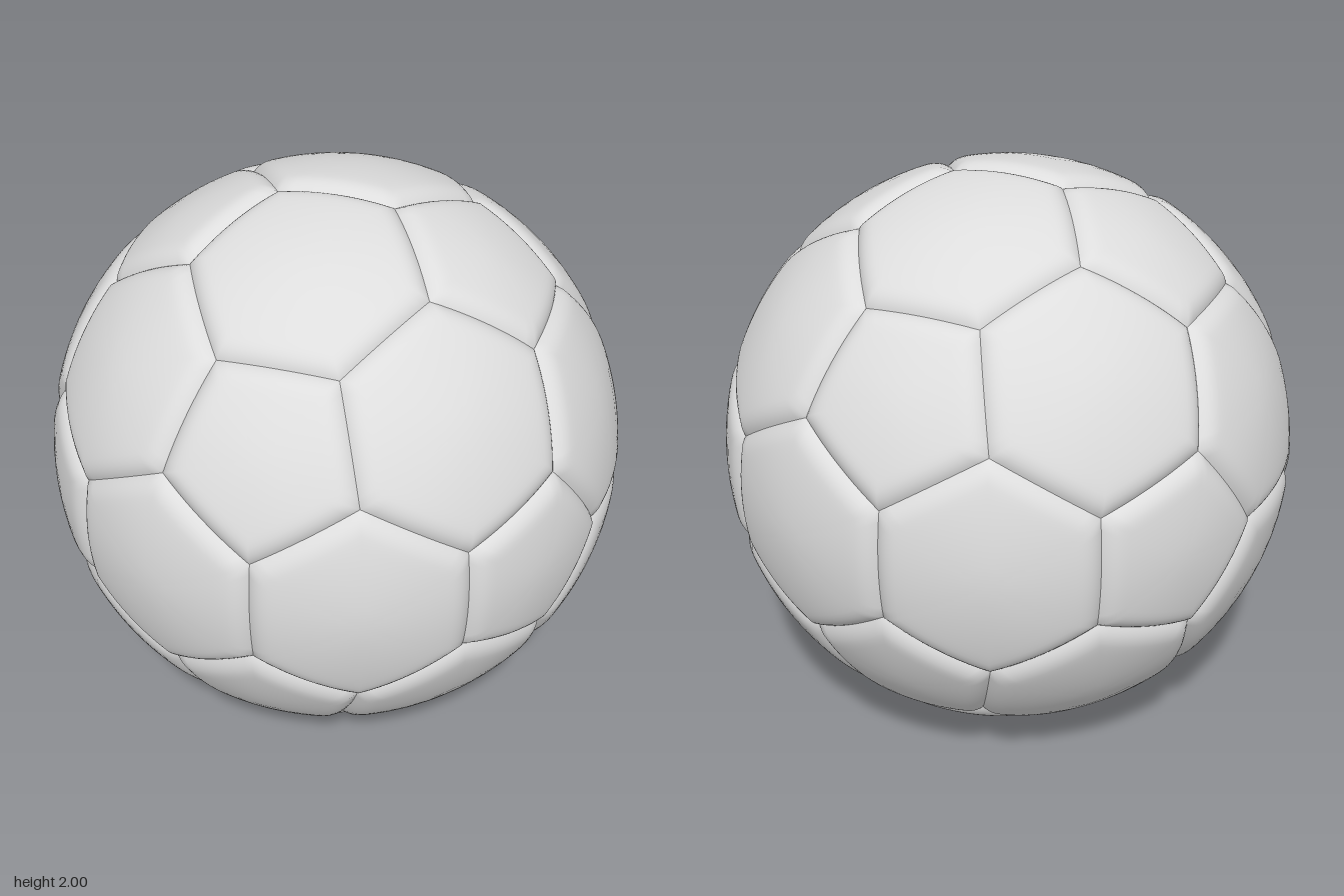
import * as THREE from 'three';

const OUTER = 1.002;   // radius of the panel faces
const DEPTH = 0.027;   // how far the seams sink in
const ROUND = 0.085;   // width of the rounded panel border
const SEGS = 10;       // subdivisions along each panel side
const RINGS = [0.2, 0.4, 0.58, 0.7, 0.76, 0.81, 0.85, 0.89, 0.925, 0.955, 0.98, 1];

// Twelve icosahedron corners: the pentagon centres
function icosahedronCorners() {
  const phi = (1 + Math.sqrt(5)) / 2, list = [];
  for (const a of [-1, 1]) for (const b of [-phi, phi]) {
    list.push(new THREE.Vector3(0, a, b), new THREE.Vector3(a, b, 0), new THREE.Vector3(b, 0, a));
  }
  return list;
}

// Sort corners counter-clockwise as seen from outside
function sortAround(center, corners) {
  const u = corners[0].clone().projectOnPlane(center).normalize();
  const v = center.clone().cross(u);
  const angle = (p) => Math.atan2(p.dot(v), p.dot(u));
  return corners.sort((p, q) => angle(p) - angle(q));
}

// Puffed spherical polygon, dropping to the seam along its border
function panelGeometry(rawCorners) {
  const center = new THREE.Vector3();
  rawCorners.forEach((p) => center.add(p));
  center.normalize();
  const corners = sortAround(center, rawCorners.map((p) => p.clone().normalize()));
  const n = corners.length, count = n * SEGS;
  const sides = corners.map((p, i) => p.clone().cross(corners[(i + 1) % n]).normalize());
  const positions = [], index = [];

  const addPoint = (dir) => {
    const edge = Math.max(0, Math.min(...sides.map((s) => Math.asin(s.dot(dir)))));
    const t = Math.min(1, edge / ROUND);
    const r = OUTER - DEPTH * Math.pow(1 - t, 2.8);
    positions.push(dir.x * r, dir.y * r, dir.z * r);
  };

  addPoint(center);
  RINGS.forEach((s, ring) => {
    for (let k = 0; k < count; k++) {
      const i = Math.floor(k / SEGS);
      const rim = corners[i].clone().lerp(corners[(i + 1) % n], (k % SEGS) / SEGS);
      addPoint(center.clone().lerp(rim, s).normalize());
      const next = (k + 1) % count, row = 1 + ring * count, prev = row - count;
      if (ring === 0) index.push(0, row + k, row + next);
      else index.push(prev + k, row + k, row + next, prev + k, row + next, prev + next);
    }
  });

  const geometry = new THREE.BufferGeometry();
  geometry.setAttribute('position', new THREE.Float32BufferAttribute(positions, 3));
  geometry.setIndex(index);
  geometry.computeVertexNormals();
  return geometry;
}

export function createModel() {
  const leather = new THREE.MeshStandardMaterial({ color: 0xdddddd });
  leather.name = 'light grey leather';
  const ball = new THREE.Group();
  ball.name = 'ball';

  const ico = icosahedronCorners();
  const near = (a, b) => a !== b && a.distanceTo(b) < 2.1;
  const third = (a, b) => a.clone().multiplyScalar(2).add(b).divideScalar(3);
  const addPanel = (name, corners) => {
    const mesh = new THREE.Mesh(panelGeometry(corners), leather);
    mesh.name = name;
    ball.add(mesh);
  };

  // Twelve pentagons, one on each icosahedron corner
  for (const a of ico) {
    addPanel('pentagonPanel', ico.filter((b) => near(a, b)).map((b) => third(a, b)));
  }

  // Twenty hexagons, one on each icosahedron face
  for (let i = 0; i < 12; i++) for (let j = i + 1; j < 12; j++) for (let k = j + 1; k < 12; k++) {
    const [a, b, c] = [ico[i], ico[j], ico[k]];
    if (near(a, b) && near(b, c) && near(a, c)) {
      addPanel('hexagonPanel', [third(a, b), third(b, a), third(b, c), third(c, b), third(c, a), third(a, c)]);
    }
  }

  ball.position.y = 1;
  const model = new THREE.Group();
  model.name = 'panelledBall';
  model.add(ball);
  return model;
}
